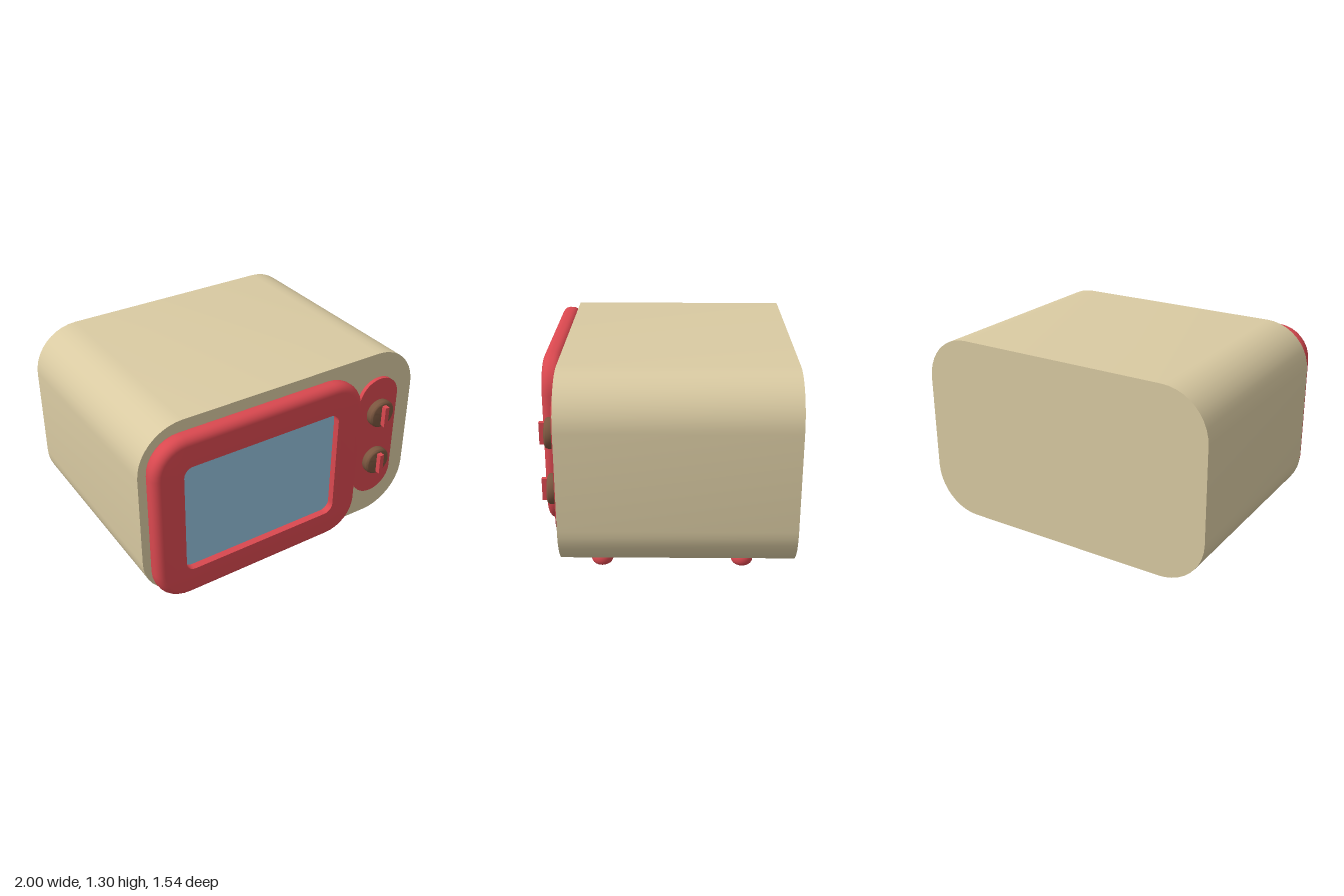
import * as THREE from 'three';
import { toCreasedNormals } from 'three/addons/utils/BufferGeometryUtils.js';

const mat = (name, color) => {
  const m = new THREE.MeshStandardMaterial({ color });
  m.name = name;
  return m;
};

// Rounded rectangle centred on (cx, cy)
function roundedRect(w, h, r, cx = 0, cy = 0) {
  const s = new THREE.Shape();
  const x = w / 2 - r, y = h / 2 - r;
  s.absarc(cx + x, cy + y, r, 0, Math.PI / 2);
  s.absarc(cx - x, cy + y, r, Math.PI / 2, Math.PI);
  s.absarc(cx - x, cy - y, r, Math.PI, Math.PI * 1.5);
  s.absarc(cx + x, cy - y, r, Math.PI * 1.5, Math.PI * 2);
  s.closePath();
  return s;
}

function slab(shape, z0, z1, curveSegments) {
  const g = new THREE.ExtrudeGeometry(shape, { depth: z1 - z0, bevelEnabled: false, curveSegments });
  g.translate(0, 0, z0);
  return toCreasedNormals(g, 0.6);
}

// Closed frame skinned over rounded-rectangle rings { w, h, r, z }
function ringFrame(rings, cx, cy, seg = 8) {
  const pos = [], idx = [], n = 4 * (seg + 1);
  for (const { w, h, r, z } of rings) {
    for (let c = 0; c < 4; c++) {
      const sx = c === 0 || c === 3 ? 1 : -1, sy = c < 2 ? 1 : -1;
      for (let i = 0; i <= seg; i++) {
        const a = (c + i / seg) * Math.PI / 2;
        pos.push(cx + sx * (w / 2 - r) + r * Math.cos(a), cy + sy * (h / 2 - r) + r * Math.sin(a), z);
      }
    }
  }
  for (let j = 0; j < rings.length; j++) {
    const a = j * n, b = ((j + 1) % rings.length) * n;
    for (let i = 0; i < n; i++) {
      const k = (i + 1) % n;
      idx.push(a + i, a + k, b + k, a + i, b + k, b + i);
    }
  }
  const g = new THREE.BufferGeometry();
  g.setAttribute('position', new THREE.Float32BufferAttribute(pos, 3));
  g.setIndex(idx);
  return toCreasedNormals(g, 0.6);
}

// Disc with rounded rims, standing on y = 0
function pill(radius, height, rim) {
  const pts = [new THREE.Vector2(0, 0)];
  for (let i = 0; i <= 12; i++) {
    const a = -Math.PI / 2 + (i / 12) * Math.PI;
    const y = i < 6 ? rim : height - rim;
    if (i === 6) pts.push(new THREE.Vector2(radius, rim));
    pts.push(new THREE.Vector2(radius - rim + rim * Math.cos(a), y + rim * Math.sin(a)));
  }
  pts.push(new THREE.Vector2(0, height));
  return toCreasedNormals(new THREE.LatheGeometry(pts, 32), 0.6);
}

export function createModel() {
  const cream = mat('cream', 0xd9caa2);
  const red = mat('red', 0xd9484f);
  const blue = mat('glassBlue', 0x92c0da);
  const brown = mat('brown', 0x7a563f);

  const model = new THREE.Group();
  model.name = 'microwaveOven';
  const add = (name, geometry, material, parent = model) => {
    const m = new THREE.Mesh(geometry, material);
    m.name = name;
    parent.add(m);
    return m;
  };

  // Housing
  add('housing', slab(roundedRect(2, 1.215, 0.3, 0, 0.688), -0.77, 0.64, 5), cream);

  // Door frame: rounded outside edge, sharp window opening
  const cx = -0.233, cy = 0.688, bevel = 0.05;
  const rings = [];
  for (let i = 0; i <= 12; i++) {
    const a = -Math.PI / 2 + (i / 12) * Math.PI;
    const inset = bevel * (1 - Math.cos(a));
    const z = (i < 6 ? 0.65 + bevel : 0.77 - bevel) + bevel * Math.sin(a);
    if (i === 6) rings.push({ w: 1.474, h: 1.13, r: 0.22, z: 0.65 + bevel });
    rings.push({ w: 1.474 - 2 * inset, h: 1.13 - 2 * inset, r: 0.22 - inset, z });
  }
  const hole = { w: 1.084, h: 0.746, r: 0.06 };
  rings.push({ ...hole, z: 0.77 }, { ...hole, z: 0.65 });
  add('doorFrame', ringFrame(rings, cx, cy), red);
  add('doorWindow', slab(roundedRect(1.09, 0.752, 0.06, cx, cy), 0.66, 0.725, 8), blue);
  add('doorMount', slab(roundedRect(1.2, 0.86, 0.1, cx, cy), 0.63, 0.66, 6), red);

  // Control panel with two knobs
  add('controlPanel', slab(roundedRect(0.305, 0.868, 0.15, 0.715, 0.69), 0.63, 0.665, 10), red);
  for (const [name, y] of [['upperKnob', 0.885], ['lowerKnob', 0.52]]) {
    const knob = new THREE.Group();
    knob.name = name;
    knob.position.set(0.715, y, 0.66);
    add('knobDial', pill(0.094, 0.062, 0.02), brown, knob).rotation.x = Math.PI / 2;
    add('knobPointer', new THREE.BoxGeometry(0.03, 0.14, 0.06), red, knob).position.z = 0.066;
    model.add(knob);
  }

  // Feet
  for (const x of [-0.7, 0.695]) {
    for (const z of [0.405, -0.465]) {
      add('foot', pill(0.068, 0.09, 0.04), red).position.set(x, 0, z);
    }
  }
  return model;
}
